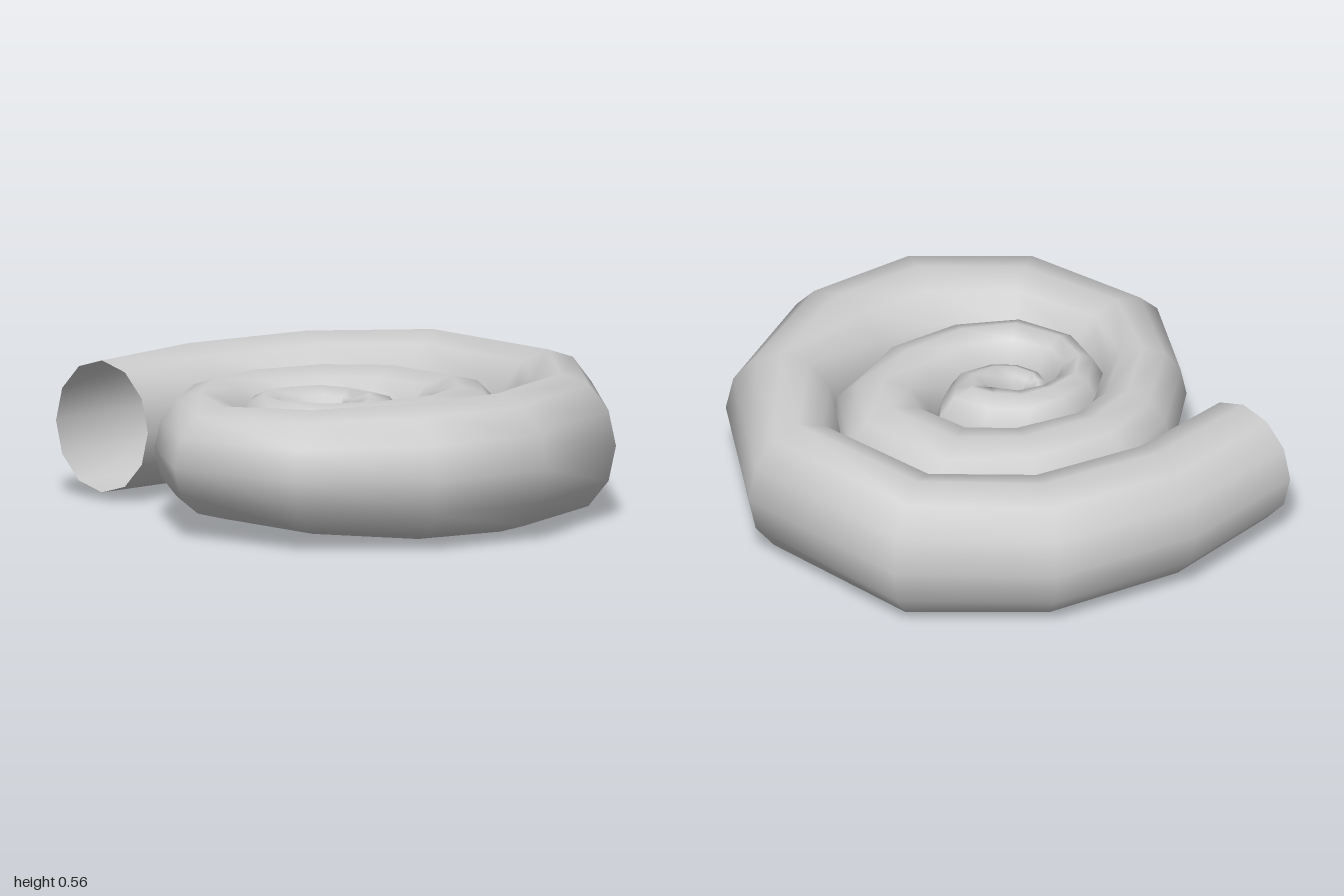
import * as THREE from 'three';

const SIDES = 12;
const AXIS_Y = 0.278;

// Outer edge of the spiral from tip to mouth: [x, z, half width of the tube]
const WHORLS = [
  [-0.16, 0.13, 0.006], [-0.13, 0.15, 0.014], [-0.09, 0.12, 0.03], [-0.10, 0.07, 0.035],
  [-0.16, 0.05, 0.04], [-0.24, 0.06, 0.05], [-0.28, 0.13, 0.06], [-0.26, 0.20, 0.065],
  [-0.18, 0.26, 0.07], [-0.07, 0.28, 0.085], [0.09, 0.24, 0.115], [0.17, 0.13, 0.14],
  [0.21, 0.01, 0.155], [0.07, -0.14, 0.14], [-0.10, -0.20, 0.13], [-0.27, -0.15, 0.11],
  [-0.41, -0.06, 0.105], [-0.48, 0.11, 0.105], [-0.44, 0.31, 0.115], [-0.26, 0.49, 0.13],
  [0.01, 0.53, 0.14], [0.31, 0.45, 0.16], [0.55, 0.24, 0.2], [0.60, -0.10, 0.21],
  [0.35, -0.49, 0.225], [-0.03, -0.57, 0.2], [-0.40, -0.48, 0.185], [-0.62, -0.28, 0.17],
  [-0.77, 0.04, 0.165], [-0.80, 0.47, 0.21], [-0.44, 0.88, 0.235], [0.08, 1.00, 0.245],
  [0.54, 0.84, 0.233], [0.91, 0.41, 0.21], [0.99, -0.20, 0.21], [0.60, -0.82, 0.225],
  [0.02, -1.00, 0.23], [-0.55, -0.88, 0.226], [-0.99, -0.61, 0.217],
];
const LAST = WHORLS.length - 1;

// Half height of the tube: [ring, height]
const HEIGHTS = [[0, 0.01], [6, 0.1], [10, 0.165], [14, 0.19], [25, 0.213], [29, 0.212], [31, 0.257], [35, 0.278], [38, 0.25]];

function halfHeight(i) {
  const k = Math.max(1, HEIGHTS.findIndex(([ring]) => ring >= i));
  const [i0, h0] = HEIGHTS[k - 1];
  const [i1, h1] = HEIGHTS[k];
  return THREE.MathUtils.mapLinear(i, i0, i1, h0, h1);
}

// Unit vector pointing from the outer edge toward the inside of the coil
function inward(i) {
  if (i === LAST) return new THREE.Vector2(0.27, 0.34).normalize();
  const step = (a, b) => new THREE.Vector2(WHORLS[b][0] - WHORLS[a][0], WHORLS[b][1] - WHORLS[a][1]).normalize();
  const t = step(i, i + 1);
  if (i > 0) t.add(step(i - 1, i)).normalize();
  return new THREE.Vector2(t.y, -t.x);
}

export function createModel() {
  const positions = [];
  const indices = [];

  // Oval rings that touch the outer edge, growing toward the mouth
  WHORLS.forEach(([x, z, halfWidth], i) => {
    const n = inward(i);
    const h = halfHeight(i);
    for (let k = 0; k < SIDES; k++) {
      const a = (k / SIDES) * Math.PI * 2;
      const d = halfWidth * (1 - Math.cos(a));
      positions.push(x + n.x * d, AXIS_Y + h * Math.sin(a), z + n.y * d);
    }
  });

  // Skin between neighbouring rings
  for (let i = 0; i < LAST; i++) {
    for (let k = 0; k < SIDES; k++) {
      const a = i * SIDES + k;
      const b = i * SIDES + ((k + 1) % SIDES);
      indices.push(a, a + SIDES, b, b, a + SIDES, b + SIDES);
    }
  }

  const geometry = new THREE.BufferGeometry();
  geometry.setAttribute('position', new THREE.Float32BufferAttribute(positions, 3));
  geometry.setIndex(indices);
  geometry.computeVertexNormals();

  // The mouth is open, so the inside shows too
  const shell = new THREE.Mesh(
    geometry,
    new THREE.MeshStandardMaterial({ color: 0xcccccc, side: THREE.DoubleSide })
  );
  shell.name = 'spiralShell';

  const group = new THREE.Group();
  group.name = 'coiledShell';
  group.add(shell);
  return group;
}
